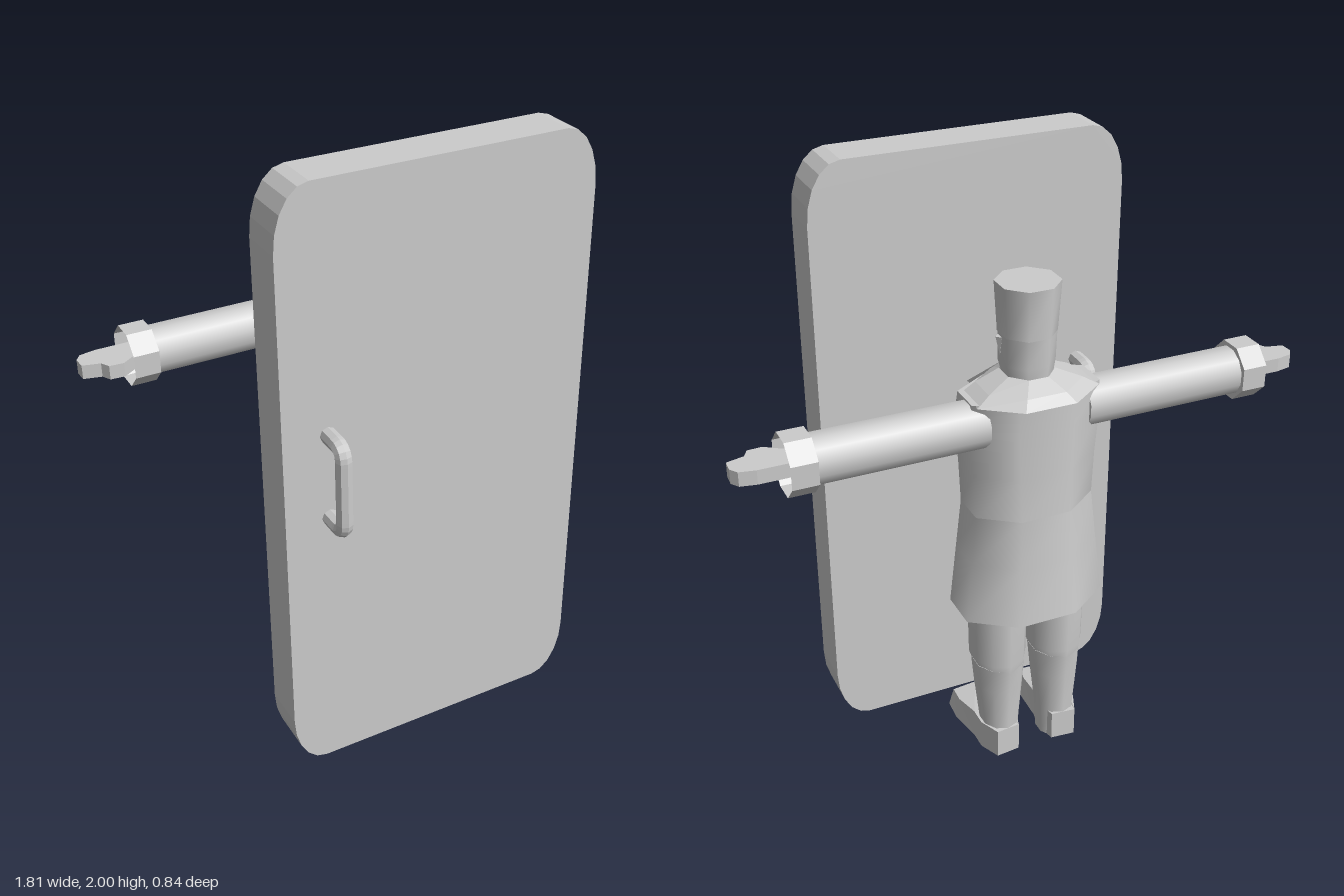
import * as THREE from 'three';

const grey = new THREE.MeshStandardMaterial({ color: 0xcccccc, side: THREE.DoubleSide });
grey.name = 'light grey';

function add(parent, name, geometry) {
  const mesh = new THREE.Mesh(geometry, grey);
  mesh.name = name;
  parent.add(mesh);
  return mesh;
}

// Faceted copy of a geometry
function flat(geometry) {
  const g = geometry.index ? geometry.toNonIndexed() : geometry;
  g.computeVertexNormals();
  return g;
}

// Upright loft through rows of [y, centre x, half width, front z, back z]
function loft(rows, sides = 8, capTop = true, capBottom = true) {
  const pos = [], index = [], k = 1 / Math.cos(Math.PI / sides), n = rows.length;
  const ring = ([y, cx, hw, zf, zb]) => {
    for (let j = 0; j < sides; j++) {
      const a = ((j + 0.5) / sides) * Math.PI * 2;
      pos.push(cx + Math.cos(a) * hw * k, y, (zf + zb) / 2 + (Math.sin(a) * (zf - zb) * k) / 2);
    }
  };
  rows.forEach(ring);
  for (let i = 0; i < n - 1; i++) {
    for (let j = 0; j < sides; j++) {
      const a = i * sides + j, b = i * sides + ((j + 1) % sides);
      index.push(a, a + sides, b, b, a + sides, b + sides);
    }
  }
  const cap = (row, top) => {
    const s = pos.length / 3;
    ring(row);
    for (let j = 1; j < sides - 1; j++) {
      if (top) index.push(s, s + j + 1, s + j);
      else index.push(s, s + j, s + j + 1);
    }
  };
  if (capTop) cap(rows[n - 1], true);
  if (capBottom) cap(rows[0], false);
  const g = new THREE.BufferGeometry();
  g.setAttribute('position', new THREE.Float32BufferAttribute(pos, 3));
  g.setIndex(index);
  g.computeVertexNormals();
  return g;
}

// Slab cut from an outline in x and z, standing from y = 0 up
function slab(points, height) {
  const shape = new THREE.Shape(points.map(([x, z]) => new THREE.Vector2(x, -z)));
  return new THREE.ExtrudeGeometry(shape, { depth: height, bevelEnabled: false }).rotateX(-Math.PI / 2);
}

function buildDoor() {
  const door = new THREE.Group();
  door.name = 'door';

  // Panel with tall elliptical corners
  const rx = 0.11, ry = 0.19, shape = new THREE.Shape();
  const corners = [[0.515 - rx, 2 - ry], [rx - 0.515, 2 - ry], [rx - 0.515, ry], [0.515 - rx, ry]];
  const points = [];
  corners.forEach(([x, y], q) => {
    for (let i = 0; i <= 5; i++) {
      const a = (q + i / 5) * Math.PI / 2;
      points.push(new THREE.Vector2(x + rx * Math.cos(a), y + ry * Math.sin(a)));
    }
  });
  shape.setFromPoints(points);
  add(door, 'doorPanel', new THREE.ExtrudeGeometry(shape, { depth: 0.15, bevelEnabled: false }).translate(0, 0, 0.15));

  // A bent bar handle on each face
  for (const [name, s] of [['frontHandle', 1], ['backHandle', -1]]) {
    const p = (y, d) => new THREE.Vector3(-0.37, y, 0.225 + s * d);
    const path = new THREE.CurvePath();
    path.add(new THREE.LineCurve3(p(0.94, 0.06), p(0.94, 0.13)));
    path.add(new THREE.QuadraticBezierCurve3(p(0.94, 0.13), p(0.94, 0.17), p(0.98, 0.17)));
    path.add(new THREE.LineCurve3(p(0.98, 0.17), p(1.185, 0.17)));
    path.add(new THREE.QuadraticBezierCurve3(p(1.185, 0.17), p(1.225, 0.17), p(1.225, 0.13)));
    path.add(new THREE.LineCurve3(p(1.225, 0.13), p(1.225, 0.06)));
    add(door, name, flat(new THREE.TubeGeometry(path, 40, 0.026, 8, false)));
  }
  return door;
}

function buildArm(s) {
  const arm = new THREE.Group();
  arm.name = s > 0 ? 'leftArm' : 'rightArm';
  const tube = (name, r, x0, x1, open, sides) => {
    const g = new THREE.CylinderGeometry(r, r, x1 - x0, sides, 1, open, Math.PI / sides);
    g.rotateZ(Math.PI / 2).translate(s * (x0 + x1) / 2, 1.31, -0.277);
    return add(arm, name, sides === 8 ? flat(g) : g);
  };
  tube('sleeve', 0.077, 0.16, 0.7, false, 12);
  tube('cuff', 0.094, 0.68, 0.76, true, 8);
  // Ring closing the inner end of the cuff
  const ring = new THREE.RingGeometry(0.07, 0.094, 8, 1, Math.PI / 8);
  add(arm, 'cuffEdge', ring.rotateY(-s * Math.PI / 2).translate(s * 0.68, 1.31, -0.277));

  // Flat hand with a short thumb at the front
  const hand = [[0.69, -0.315], [0.84, -0.315], [0.89, -0.305], [0.907, -0.28], [0.905, -0.24],
    [0.85, -0.226], [0.835, -0.198], [0.79, -0.195], [0.74, -0.23], [0.69, -0.24]];
  add(arm, 'hand', slab(hand.map(([x, z]) => [s * x, z]), 0.045).translate(0, 1.288, 0));
  return arm;
}

function buildLeg(s) {
  const leg = new THREE.Group();
  leg.name = s > 0 ? 'leftLeg' : 'rightLeg';
  const x = s * 0.1;
  add(leg, 'trouser', loft([
    [0.42, x, 0.073, -0.17, -0.355], [0.46, x, 0.085, -0.16, -0.36],
    [0.66, x, 0.088, -0.155, -0.365], [0.95, s * 0.09, 0.08, -0.16, -0.36]], 10));
  add(leg, 'bootShaft', loft([
    [0.1, x, 0.058, -0.215, -0.345], [0.2, x, 0.06, -0.205, -0.345],
    [0.35, x, 0.074, -0.185, -0.352], [0.44, x, 0.08, -0.17, -0.357]], 10));

  // Foot: footprint slab whose top slopes down to the toe
  const half = [[0.04, 0], [0.062, 0.07], [0.055, 0.13], [0.063, 0.24], [0.05, 0.315]];
  const outline = [...half, ...half.map(([a, b]) => [-a, b]).reverse()];
  const foot = slab(outline, 0.1);
  const p = foot.attributes.position;
  for (let i = 0; i < p.count; i++) {
    if (p.getY(i) < 0.05) continue;
    const z = p.getZ(i), t = THREE.MathUtils.clamp((z - 0.13) / 0.185, 0, 1);
    p.setXYZ(i, p.getX(i) * (1 - 0.15 * t), 0.1 - 0.028 * t, z - 0.02 * t);
  }
  foot.computeVertexNormals();
  add(leg, 'foot', foot.rotateY(s * 0.1).translate(s * 0.1, 0.1, -0.35));
  return leg;
}

function buildFigure() {
  const figure = new THREE.Group();
  figure.name = 'figure';
  for (const s of [1, -1]) figure.add(buildArm(s), buildLeg(s));

  // Long coat, open at the hem
  add(figure, 'coatSkirt', loft([
    [0.65, 0, 0.232, -0.097, -0.42], [0.85, 0, 0.21, -0.104, -0.405], [1.01, 0, 0.193, -0.113, -0.392]], 8, false, false));
  add(figure, 'coatBody', loft([
    [1.01, 0, 0.193, -0.113, -0.392], [1.15, 0, 0.2, -0.115, -0.388],
    [1.3, 0, 0.213, -0.118, -0.386], [1.39, 0, 0.205, -0.135, -0.386]], 8, true, false));

  // Wide collar and pointed lapels
  add(figure, 'collar', flat(loft([
    [1.385, 0, 0.195, -0.13, -0.412], [1.41, 0, 0.15, -0.14, -0.38], [1.44, 0, 0.075, -0.165, -0.325]], 8, false, false)));
  for (const s of [1, -1]) {
    const g = new THREE.BufferGeometry();
    g.setAttribute('position', new THREE.Float32BufferAttribute([
      s * 0.04, 1.43, -0.155, s * 0.15, 1.385, -0.15, s * 0.1, 1.33, -0.098, s * 0.03, 1.23, -0.097], 3));
    g.setIndex(s > 0 ? [0, 3, 2, 0, 2, 1] : [0, 2, 3, 0, 1, 2]);
    add(figure, s > 0 ? 'leftLapel' : 'rightLapel', flat(g));
  }

  // Head, tall hat, nose and ears
  add(figure, 'head', loft([
    [1.37, 0, 0.065, -0.185, -0.315], [1.43, 0, 0.07, -0.18, -0.318],
    [1.47, 0, 0.078, -0.162, -0.322], [1.57, 0, 0.08, -0.165, -0.326]], 8));
  const hat = loft([[1.56, 0, 0.081, -0.163, -0.327], [1.715, 0, 0.09, -0.155, -0.335]], 8);
  add(figure, 'hat', hat);
  const nose = new THREE.ConeGeometry(0.026, 0.09, 4, 1, false, 0);
  add(figure, 'nose', flat(nose.translate(0, 1.53, -0.158)));
  for (const s of [1, -1]) {
    const ear = new THREE.ConeGeometry(0.014, 0.06, 4).rotateX(Math.PI);
    add(figure, s > 0 ? 'leftEar' : 'rightEar', flat(ear.translate(s * 0.08, 1.52, -0.23)));
  }
  return figure;
}

export function createModel() {
  const model = new THREE.Group();
  model.name = 'doorWithFigure';
  model.add(buildDoor(), buildFigure());
  return model;
}
